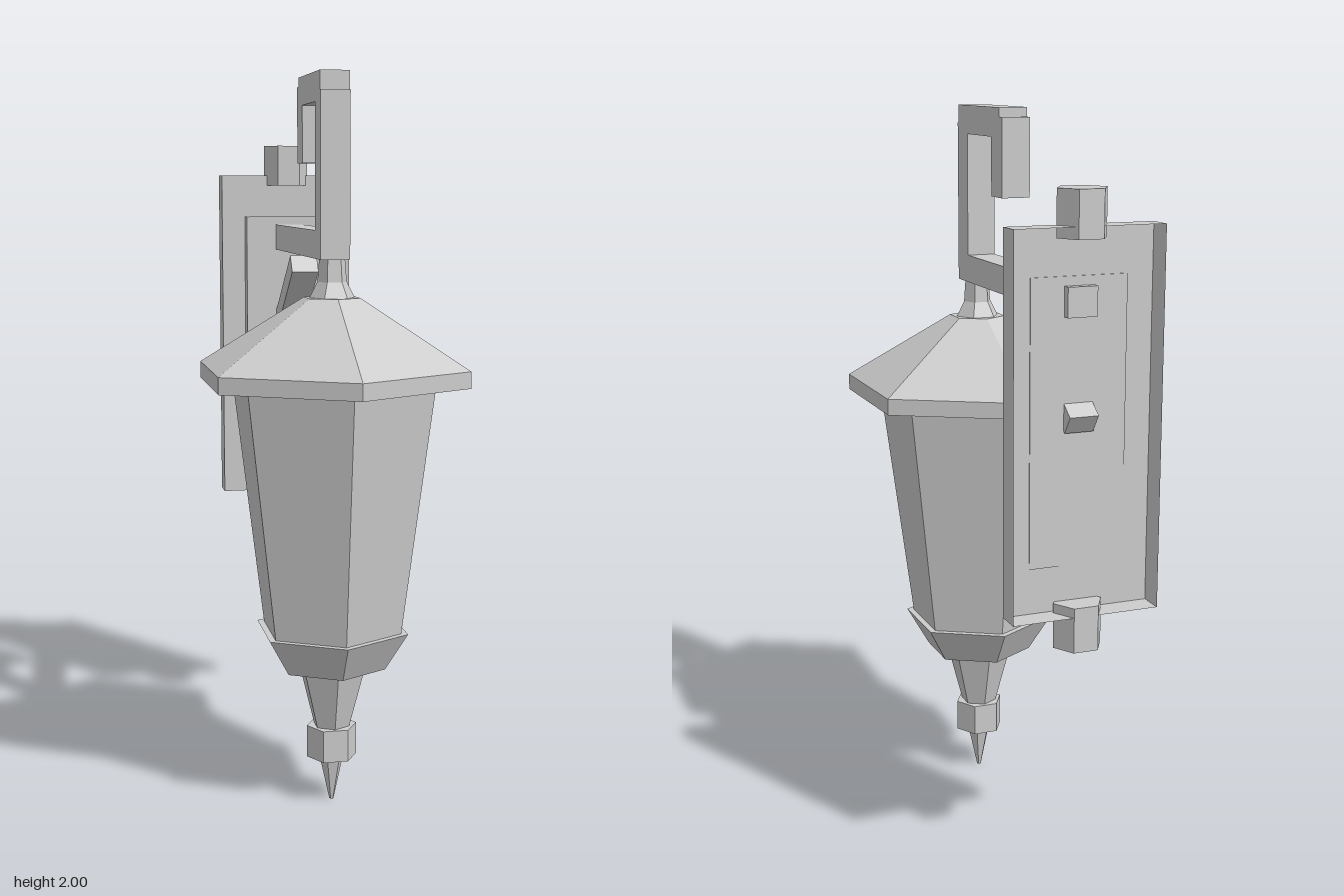
import * as THREE from 'three';

export function createModel() {
  const group = new THREE.Group();
  const greyMetal = new THREE.MeshStandardMaterial({ color: 0xcccccc, flatShading: true, side: THREE.DoubleSide });
  greyMetal.name = 'greyMetal';

  const LAMP_Z = 0.2;      // lantern axis
  const PLATE_Z = -0.527;  // axis of the wall plate knobs

  const add = (name, geometry, x, y, z) => {
    const mesh = new THREE.Mesh(geometry, greyMetal);
    mesh.name = name;
    mesh.position.set(x, y, z);
    group.add(mesh);
    return mesh;
  };

  // Six-sided frustum from y0 to y1; turned puts corners on the x axis
  const hex = (name, y0, y1, r0, r1, z = LAMP_Z, turned = false) => {
    const g = new THREE.CylinderGeometry(r1, r0, y1 - y0, 6);
    if (turned) g.rotateY(Math.PI / 6);
    return add(name, g, 0, (y0 + y1) / 2, z);
  };

  // Box given by its limits in y and z, centred on x = 0
  const bar = (name, width, y0, y1, z0, z1) =>
    add(name, new THREE.BoxGeometry(width, y1 - y0, z1 - z0), 0, (y0 + y1) / 2, (z0 + z1) / 2);

  // Lantern
  hex('roofSlope', 1.223, 1.408, 0.385, 0.08);
  hex('roofRim', 1.178, 1.223, 0.385, 0.385);
  hex('lanternBody', 0.497, 1.178, 0.2, 0.29);
  hex('lanternBase', 0.392, 0.497, 0.155, 0.22);
  hex('lowerTaper', 0.218, 0.392, 0.052, 0.098);
  hex('bottomNut', 0.128, 0.218, 0.07, 0.07, LAMP_Z, true);
  hex('bottomSpike', 0, 0.128, 0.006, 0.034, LAMP_Z, true);

  // Flared neck between roof and bracket
  const neck = [[0.066, 1.4], [0.04, 1.45], [0.035, 1.515]].map(p => new THREE.Vector2(...p));
  add('neck', new THREE.LatheGeometry(neck, 6).rotateY(Math.PI / 6), 0, 0, LAMP_Z);

  // Bracket with hooked top
  bar('bracketPost', 0.08, 1.51, 1.95, 0.165, 0.243);
  bar('bracketTop', 0.08, 1.922, 2, -0.076, 0.235);
  bar('hookEnd', 0.08, 1.765, 1.975, -0.098, -0.02);
  bar('bracketArm', 0.08, 1.51, 1.586, -0.54, 0.2);

  // Slanted brace below the arm
  const brace = add('brace', new THREE.BoxGeometry(0.078, 0.057, 0.41), 0, 1.36, -0.374);
  brace.rotation.x = -Math.atan(0.71);

  // Wall plate: a shallow tray left open at the back
  const tray = new THREE.BoxGeometry(0.4, 0.985, 0.07);
  tray.setIndex(Array.from(tray.index.array).slice(0, 30));
  tray.clearGroups();
  add('wallPlate', tray, 0, 1.2425, -0.55);
  bar('wallPanel', 0.26, 0.87, 1.61, -0.518, -0.472);

  // Knobs at both ends of the plate
  hex('upperKnob', 1.704, 1.824, 0.067, 0.067, PLATE_Z, true);
  hex('lowerKnob', 0.655, 0.775, 0.067, 0.067, PLATE_Z, true);

  return group;
}
